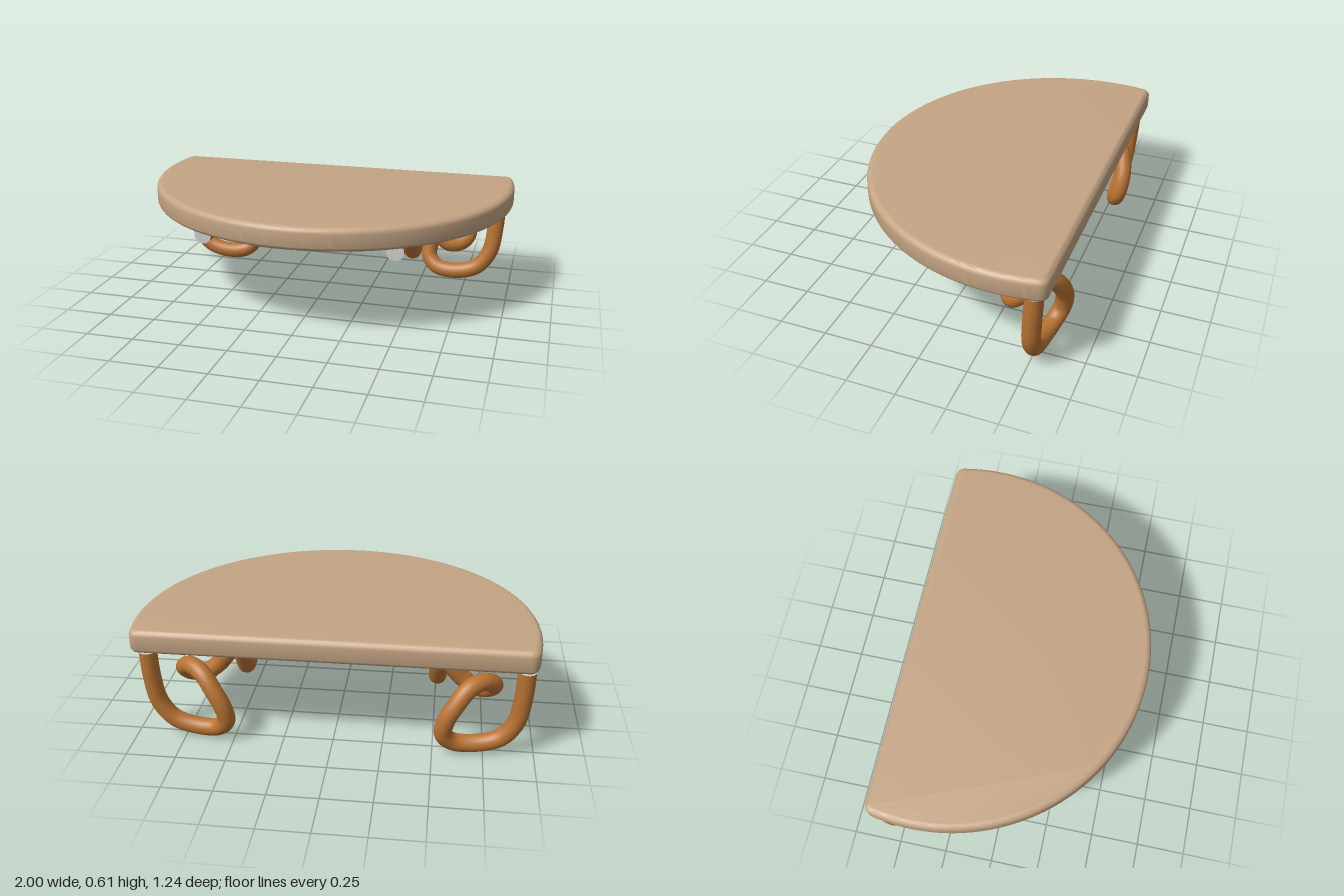
import * as THREE from 'three';
import { toCreasedNormals } from 'three/addons/utils/BufferGeometryUtils.js';

const TUBE_RADIUS = 0.045;

// Centre line of one looping leg, from its front end to the rear post
const LEG_PATH = [
  [0.5, 0.445, 0.37], [0.5, 0.443, 0.2], [0.5, 0.41, 0.01], [0.5, 0.345, -0.1],
  [0.5, 0.268, -0.182], [0.5, 0.264, -0.235], [0.5, 0.345, -0.297], [0.515, 0.425, -0.345],
  [0.555, 0.4, -0.355], [0.62, 0.32, -0.342], [0.69, 0.27, -0.342], [0.755, 0.284, -0.375],
  [0.778, 0.33, -0.42], [0.725, 0.375, -0.48], [0.655, 0.36, -0.535], [0.595, 0.285, -0.57],
  [0.552, 0.2, -0.576], [0.542, 0.115, -0.56], [0.59, 0.06, -0.535], [0.7, 0.048, -0.518],
  [0.82, 0.085, -0.515], [0.89, 0.18, -0.52], [0.915, 0.33, -0.53], [0.92, 0.477, -0.538],
];

function makeTop() {
  const bevel = 0.03, height = 0.12, r = 1 - bevel, cz = -0.385, back = -0.585;
  const corner = Math.sqrt(r * r - (back - cz) ** 2);
  const a = 0.19;
  // Circle cut straight along the back, with slightly softened corners
  const shape = new THREE.Shape();
  shape.absarc(0, cz, r, -a, Math.PI + a, false);
  shape.quadraticCurveTo(-corner, back, -corner + 0.015, back);
  shape.lineTo(corner - 0.015, back);
  shape.quadraticCurveTo(corner, back, r * Math.cos(a), cz - r * Math.sin(a));
  const geo = new THREE.ExtrudeGeometry(shape, {
    depth: height - 2 * bevel, bevelEnabled: true, bevelSize: bevel,
    bevelThickness: bevel, bevelSegments: 6, curveSegments: 96,
  });
  geo.rotateX(Math.PI / 2);
  geo.translate(0, 0.61 - bevel, 0);
  const mesh = new THREE.Mesh(toCreasedNormals(geo, 0.6), new THREE.MeshStandardMaterial({ color: 0xc4a484 }));
  mesh.name = 'tableTop';
  return mesh;
}

function makeLeg(side, wood, grey) {
  const leg = new THREE.Group();
  leg.name = side > 0 ? 'leftLeg' : 'rightLeg';
  const points = LEG_PATH.map(([x, y, z]) => new THREE.Vector3(side * x - 0.01, y, z));
  const curve = new THREE.CatmullRomCurve3(points, false, 'centripetal');
  const tube = new THREE.Mesh(new THREE.TubeGeometry(curve, 220, TUBE_RADIUS, 24), wood);
  tube.name = 'loopingTube';
  leg.add(tube);
  // Flat discs closing both cut ends
  for (const [t, dir, name] of [[0, -1, 'frontEndCap'], [1, 1, 'postEndCap']]) {
    const cap = new THREE.Mesh(new THREE.CircleGeometry(TUBE_RADIUS, 24), grey);
    const normal = curve.getTangentAt(t).multiplyScalar(dir);
    cap.quaternion.setFromUnitVectors(new THREE.Vector3(0, 0, 1), normal);
    cap.position.copy(curve.getPointAt(t));
    cap.name = name;
    leg.add(cap);
  }
  return leg;
}

export function createModel() {
  const group = new THREE.Group();
  group.name = 'halfRoundTable';
  const wood = new THREE.MeshStandardMaterial({ color: 0xb87333 });
  const grey = new THREE.MeshStandardMaterial({ color: 0xcccccc, side: THREE.DoubleSide });
  group.add(makeTop());
  for (const side of [1, -1]) group.add(makeLeg(side, wood, grey));
  return group;
}
